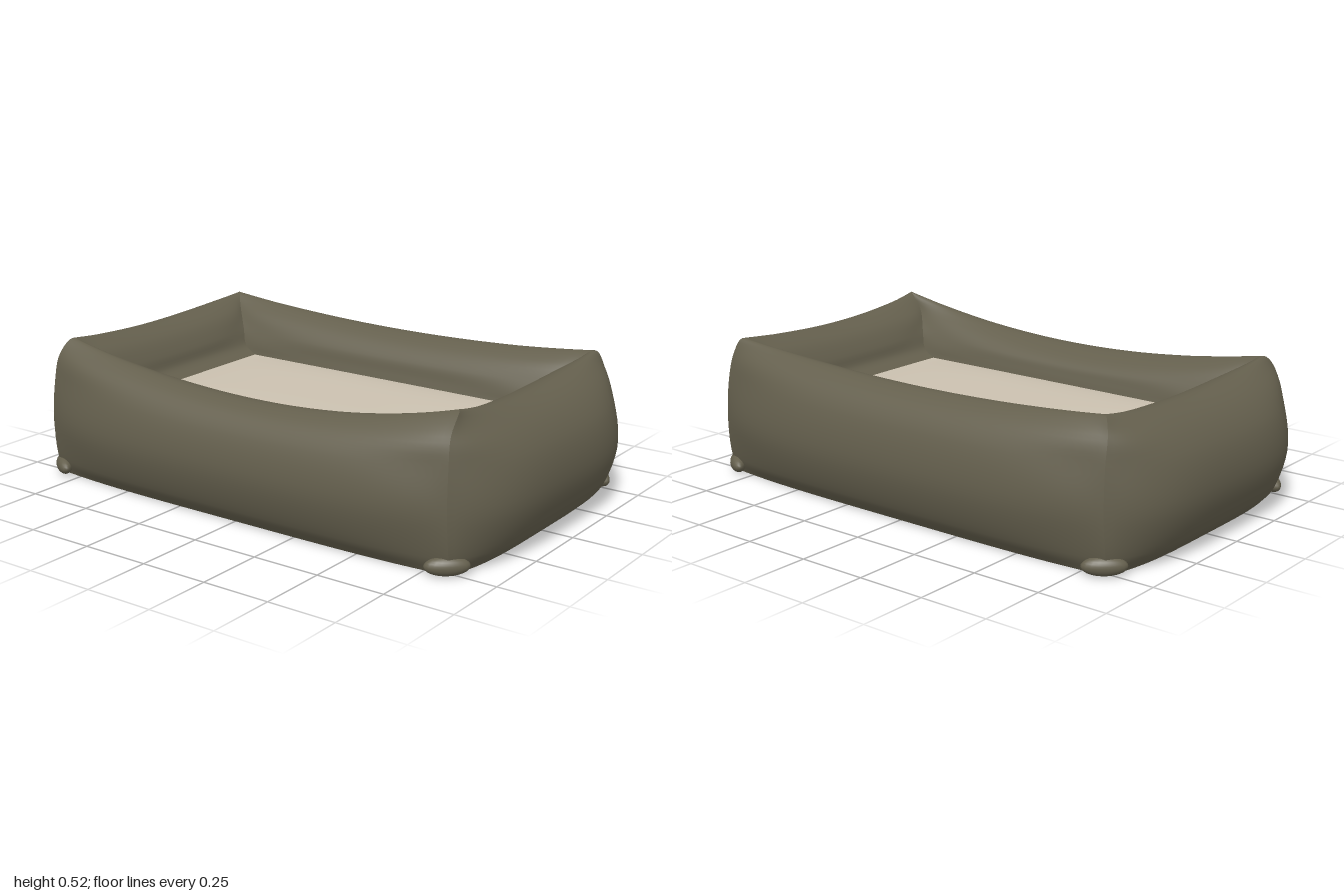
import * as THREE from 'three';

const mat = (name, color, side = THREE.FrontSide) => {
  const m = new THREE.MeshStandardMaterial({ color, side });
  m.name = name;
  return m;
};

// Corner seam sections run from the outer foot, over the peak, to the inner foot.
const SEAM_OUT = [[.835, 0, .512], [.845, .06, .533], [.845, .2, .548], [.84, .36, .538], [.832, .455, .515]];
const SEAM_IN = [[.755, .465, .43], [.695, .39, .375], [.664, .33, .35], [.605, .297, .34]];
// Mid-wall sections as [distance from centre, height]
const FRONT = [[.54, 0], [.59, .06], [.63, .2], [.605, .33], [.55, .4], [.48, .422], [.41, .4], [.365, .365], [.35, .33], [.34, .297]];
const BACK = [[.54, 0], [.59, .06], [.63, .2], [.605, .35], [.55, .43], [.48, .463], [.41, .435], [.36, .38], [.345, .33], [.335, .297]];
const SIDE = [[.885, 0], [.945, .06], [.998, .2], [.98, .34], [.91, .435], [.82, .475], [.73, .445], [.68, .38], [.662, .33], [.605, .297]];

const curve = (pts) => new THREE.CatmullRomCurve3(pts.map((p) => new THREE.Vector3(...p)));
const cornerCurve = (sx, sz, peak) =>
  curve([...SEAM_OUT, peak, ...SEAM_IN].map(([x, y, z]) => [x * sx, y, z * sz]));

// One padded wall lofted between two mitred corner seams
function wallGeometry(c0, c1, mid, axis, sign) {
  const N = 64, M = 45, pos = [], idx = [];
  const midCurve = curve(mid.map(([d, y]) => [d, y, 0]));
  for (let j = 0; j <= M; j++) {
    const v = j / M;
    const a = c0.getPoint(v), b = c1.getPoint(v), m = midCurve.getPoint(v);
    for (let i = 0; i <= N; i++) {
      const t = i / N, u = Math.abs(2 * t - 1);
      const p = a.clone().lerp(b, t);
      p.y += (m.y - p.y) * (1 - u * u);
      p[axis] += (sign * m.x - p[axis]) * (1 - u ** 4);
      // soft gathers beside the seams
      p[axis] += sign * 0.03 * u ** 6 * (1 - u * u) * Math.sin(v * 34) * Math.sin(Math.PI * v);
      pos.push(p.x, p.y, p.z);
      if (i < N && j < M) {
        const k = j * (N + 1) + i, n = k + N + 1;
        idx.push(k, k + 1, n, k + 1, n + 1, n);
      }
    }
  }
  const g = new THREE.BufferGeometry();
  g.setAttribute('position', new THREE.Float32BufferAttribute(pos, 3));
  g.setIndex(idx);
  g.computeVertexNormals();
  return g;
}

export function createModel() {
  const group = new THREE.Group();
  const olive = mat('olive fabric', 0x645f4d, THREE.DoubleSide);
  const beige = mat('beige cushion', 0xcbc1b0);
  const grey = mat('grey underside', 0xb4b2ad);
  const pale = mat('pale lining', 0xfff6e6);
  const add = (name, geo, material) => {
    const mesh = new THREE.Mesh(geo, material);
    mesh.name = name;
    group.add(mesh);
    return mesh;
  };

  // Four bolster walls
  const fl = cornerCurve(1, 1, [.822, .525, .45]), fr = cornerCurve(-1, 1, [.81, .507, .465]);
  const bl = cornerCurve(1, -1, [.81, .507, .49]), br = cornerCurve(-1, -1, [.8, .507, .48]);
  add('frontWall', wallGeometry(fr, fl, FRONT, 'z', 1), olive);
  add('leftWall', wallGeometry(fl, bl, SIDE, 'x', 1), olive);
  add('backWall', wallGeometry(bl, br, BACK, 'z', -1), olive);
  add('rightWall', wallGeometry(br, fr, SIDE, 'x', -1), olive);

  // Bunched fabric at the foot of each corner
  for (const sx of [-1, 1]) {
    for (const sz of [-1, 1]) {
      const tuck = add('cornerTuck', new THREE.SphereGeometry(1, 20, 14), olive);
      tuck.scale.set(0.075, 0.032, 0.03);
      tuck.position.set(sx * 0.832, 0.034, sz * 0.52);
      tuck.rotation.y = sx * sz * 0.7;
    }
  }

  // Softly domed sleeping cushion
  const cushion = new THREE.PlaneGeometry(1.23, 0.69, 32, 24).rotateX(-Math.PI / 2);
  const p = cushion.attributes.position;
  for (let i = 0; i < p.count; i++) {
    const x = p.getX(i) / 0.615, z = p.getZ(i) / 0.345;
    p.setY(i, 0.3 + 0.02 * (1 - x ** 4) * (1 - z ** 4));
  }
  cushion.computeVertexNormals();
  add('cushion', cushion, beige);

  // Underside frame, bowed along its sides, with a shallow recess
  const frame = new THREE.Shape()
    .moveTo(-0.835, -0.512)
    .bezierCurveTo(-0.5, -0.547, 0.5, -0.547, 0.835, -0.512)
    .bezierCurveTo(0.9, -0.3, 0.9, 0.3, 0.835, 0.512)
    .bezierCurveTo(0.5, 0.547, -0.5, 0.547, -0.835, 0.512)
    .bezierCurveTo(-0.9, 0.3, -0.9, -0.3, -0.835, -0.512);
  frame.holes.push(new THREE.Path()
    .moveTo(-0.7, -0.38).lineTo(0.7, -0.38).lineTo(0.7, 0.38).lineTo(-0.7, 0.38).closePath());
  add('baseFrame', new THREE.ExtrudeGeometry(frame, { depth: 0.02, bevelEnabled: false, curveSegments: 24 })
    .rotateX(Math.PI / 2).translate(0, 0.02, 0), grey);
  add('basePanel', new THREE.PlaneGeometry(1.42, 0.78).rotateX(Math.PI / 2).translate(0, 0.01, 0), grey);

  // Lining showing along the edges of the recess
  const lining = (w, d, x, z) =>
    add('lining', new THREE.PlaneGeometry(w, d).rotateX(Math.PI / 2).translate(x, 0.003, z), pale);
  lining(0.04, 0.76, 0.68, 0);
  lining(0.04, 0.76, -0.68, 0);
  lining(0.3, 0.035, 0.08, -0.3625);
  return group;
}
